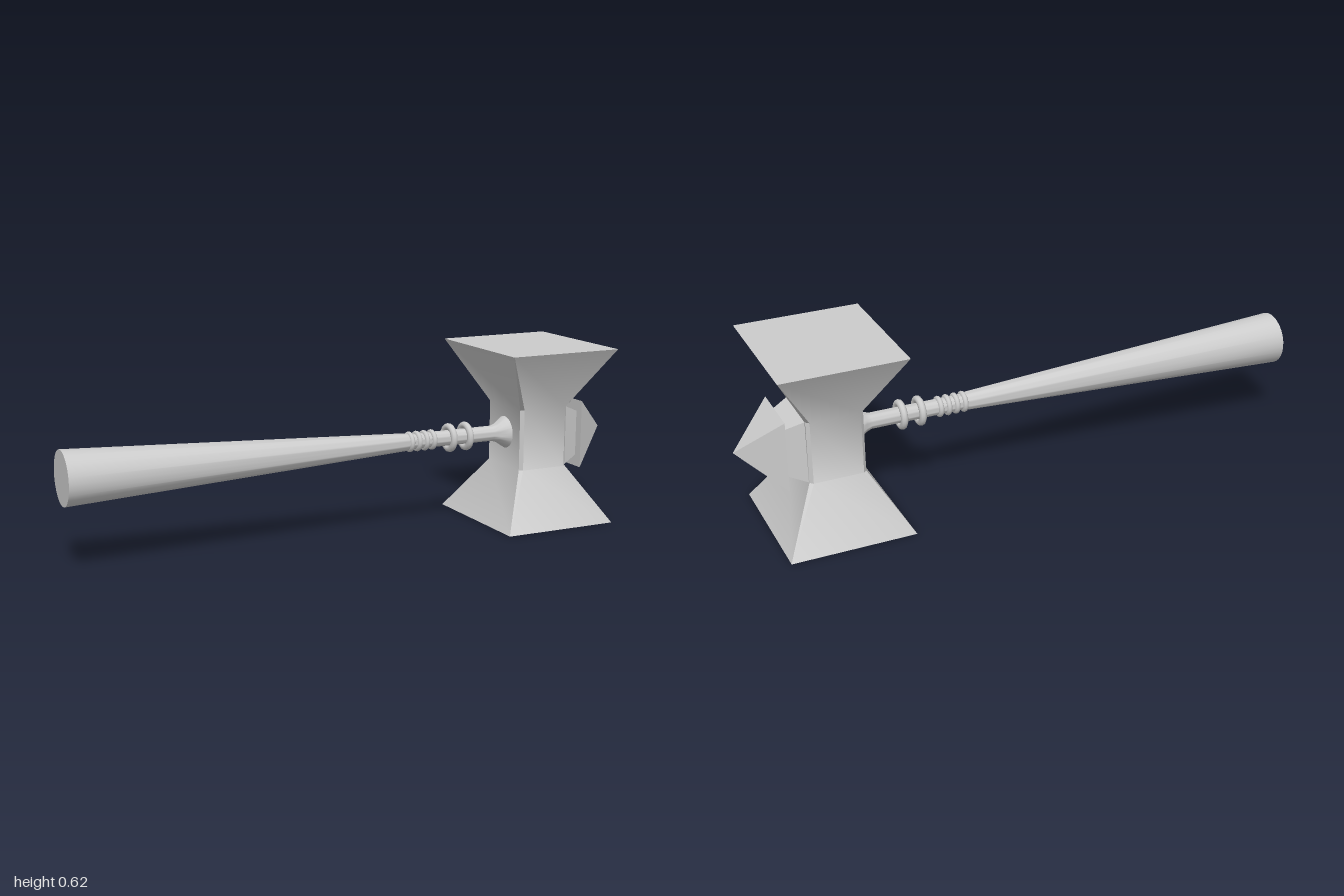
import * as THREE from 'three';
import { toCreasedNormals } from 'three/addons/utils/BufferGeometryUtils.js';

const material = new THREE.MeshStandardMaterial({ color: 0xcccccc });
const HEAD_X = 0.695, AXIS_Y = 0.311, SPIKE_Y = 0.298;

function part(group, name, geometry, x, y) {
  const mesh = new THREE.Mesh(geometry, material);
  mesh.name = name;
  mesh.position.set(x, y, 0);
  group.add(mesh);
  return mesh;
}

// Stacks chamfered rectangles [y, halfX, halfZ, chamfer] into a closed solid.
function chamferedLoft(levels) {
  const positions = [], index = [], n = 8;
  for (const [y, hx, hz, c] of levels) {
    const loop = [
      [hx, hz - c], [hx - c, hz], [c - hx, hz], [-hx, hz - c],
      [-hx, c - hz], [c - hx, -hz], [hx - c, -hz], [hx, c - hz],
    ];
    for (const [x, z] of loop) positions.push(x, y, z);
  }
  for (let i = 0; i < levels.length - 1; i++) {
    for (let j = 0; j < n; j++) {
      const a = i * n + j, b = i * n + (j + 1) % n;
      index.push(a, a + n, b + n, a, b + n, b);
    }
  }
  const top = (levels.length - 1) * n;
  for (let j = 1; j < n - 1; j++) {
    index.push(0, j, j + 1, top, top + j + 1, top + j);
  }
  const geometry = new THREE.BufferGeometry();
  geometry.setAttribute('position', new THREE.Float32BufferAttribute(positions, 3));
  geometry.setIndex(index);
  return toCreasedNormals(geometry, 0.65);
}

// Four-sided frustum along +x; the near end has the given half sizes, the far end is scaled by taper.
function squareFrustum(length, halfY, halfZ, taper) {
  const geometry = new THREE.CylinderGeometry(Math.SQRT2 * taper, Math.SQRT2, length, 4);
  geometry.rotateY(Math.PI / 4).rotateZ(-Math.PI / 2).scale(1, halfY, halfZ);
  return toCreasedNormals(geometry, 0.3);
}

export function createModel() {
  const hammer = new THREE.Group();
  hammer.name = 'warHammer';

  // Head: narrow chamfered waist flaring to two flat striking faces
  part(hammer, 'head', chamferedLoft([
    [0, 0.21, 0.24, 0.001],
    [0.192, 0.095, 0.113, 0.011],
    [0.407, 0.095, 0.113, 0.011],
    [0.621, 0.21, 0.24, 0.001],
  ]), HEAD_X, 0);

  // Side spike: tapered mount and pyramid
  part(hammer, 'spikeMount', squareFrustum(0.07, 0.109, 0.098, 0.74), 0.82, SPIKE_Y);
  part(hammer, 'spike', squareFrustum(0.145, 0.121, 0.104, 0), 0.9275, SPIKE_Y);

  // Handle: thick at the end, thin neck, flared socket against the head
  const profile = [
    [0, -1], [0.091, -1], [0.031, 0.2], [0.027, 0.22], [0.027, 0.545],
    [0.034, 0.565], [0.058, 0.602], [0.058, 0.62], [0, 0.62],
  ].map(([r, x]) => new THREE.Vector2(r, x));
  const handle = new THREE.LatheGeometry(profile, 28).rotateZ(-Math.PI / 2);
  part(hammer, 'handle', toCreasedNormals(handle, 0.7), 0, AXIS_Y);

  // Rings around the neck: four small, two large
  const rings = new THREE.Group();
  rings.name = 'neckRings';
  hammer.add(rings);
  const addRing = (name, x, radius, tube) => part(rings, name,
    new THREE.TorusGeometry(radius, tube, 10, 28).rotateY(Math.PI / 2), x, AXIS_Y);
  for (let i = 0; i < 4; i++) addRing('smallRing', 0.217 + i * 0.029, 0.027, 0.009);
  for (const x of [0.374, 0.439]) addRing('largeRing', x, 0.039, 0.012);

  return hammer;
}
